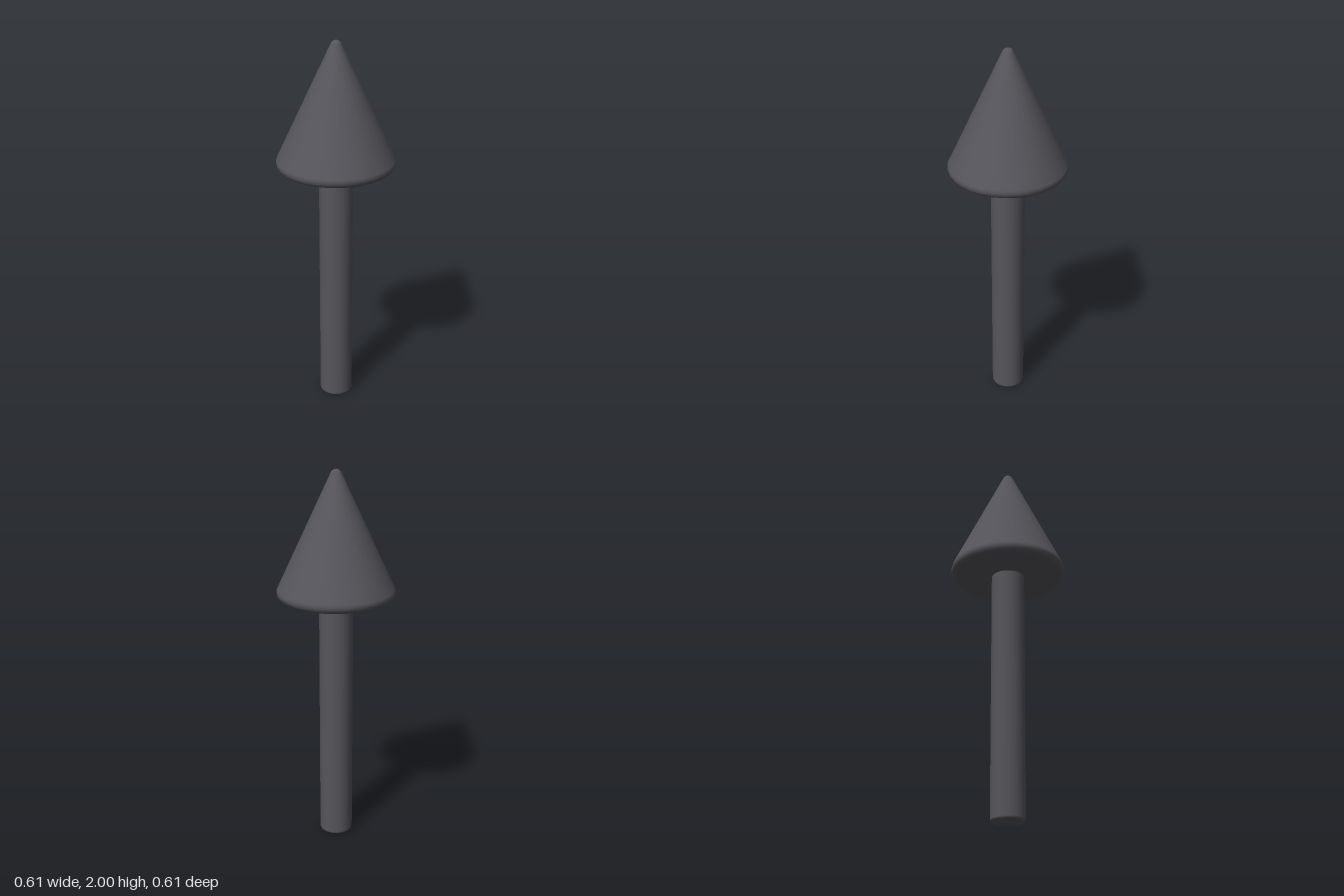
import * as THREE from 'three';

const SIDES = 32;

// Points of a fillet arc, angles in degrees
function arc(cx, cy, r, from, to, steps) {
  return Array.from({ length: steps + 1 }, (_, i) => {
    const a = THREE.MathUtils.degToRad(from + ((to - from) * i) / steps);
    return new THREE.Vector2(Math.max(0, cx + r * Math.cos(a)), cy + r * Math.sin(a));
  });
}

export function createModel() {
  const group = new THREE.Group();
  group.name = 'arrow';
  const material = new THREE.MeshStandardMaterial({ color: 0x56555b });

  const addLathe = (name, profile) => {
    const mesh = new THREE.Mesh(new THREE.LatheGeometry(profile, SIDES), material);
    mesh.name = name;
    group.add(mesh);
  };

  // Round shaft with a softened lower edge, running up into the head
  addLathe('shaft', [
    new THREE.Vector2(0, 0),
    ...arc(0.073, 0.015, 0.015, -90, 0, 5),
    new THREE.Vector2(0.088, 1.36),
  ]);

  // Conical head with a rounded rim and a blunt rounded tip
  addLathe('head', [
    new THREE.Vector2(0, 1.34),
    ...arc(0.27, 1.377, 0.037, -90, 25, 8),
    ...arc(0, 1.97, 0.03, 25, 90, 5),
  ]);

  return group;
}
